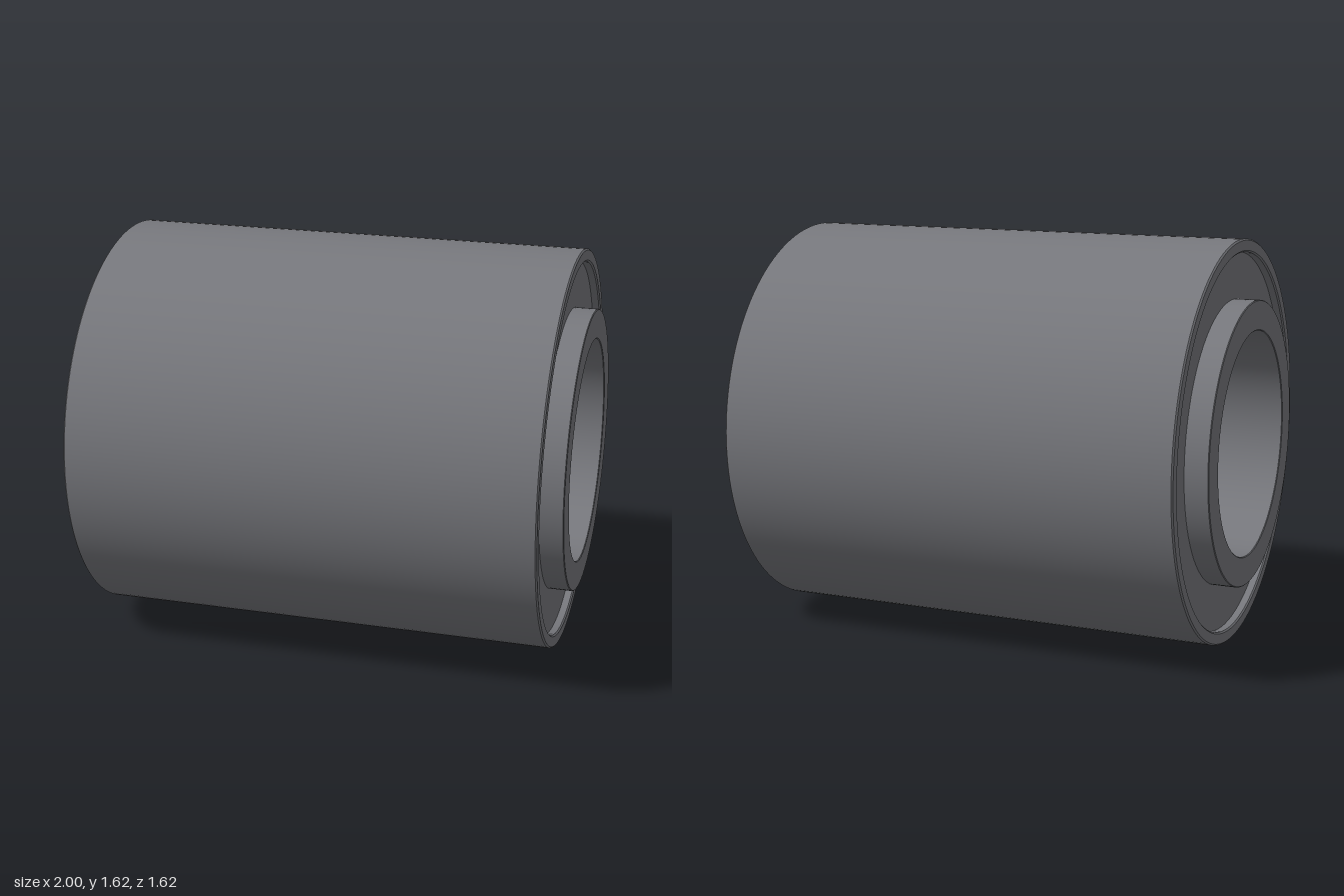
import * as THREE from 'three';
import { toCreasedNormals } from 'three/addons/utils/BufferGeometryUtils.js';

const AXIS_HEIGHT = 0.8125;

// Closed ring around the x axis with bevelled corners.
function ring(name, inner, outer, halfLength, bevel, material) {
  const h = halfLength, b = bevel;
  const profile = [
    [inner + b, -h], [outer - b, -h], [outer, -h + b], [outer, h - b],
    [outer - b, h], [inner + b, h], [inner, h - b], [inner, -h + b], [inner + b, -h],
  ].map(([r, y]) => new THREE.Vector2(r, y));
  const geometry = new THREE.LatheGeometry(profile, 128);
  geometry.rotateZ(-Math.PI / 2);
  const mesh = new THREE.Mesh(toCreasedNormals(geometry, Math.PI / 6), material);
  mesh.name = name;
  mesh.position.y = AXIS_HEIGHT;
  return mesh;
}

export function createModel() {
  const grey = new THREE.MeshStandardMaterial({ color: 0x77787d });
  grey.name = 'grey';

  const model = new THREE.Group();
  model.name = 'bushing';
  model.add(
    ring('outerSleeve', 0.76, AXIS_HEIGHT, 0.94, 0.006, grey),
    // Recessed filling between the sleeves
    ring('fillingRing', 0.57, 0.765, 0.905, 0.001, grey),
    // Inner sleeve sticks out at both ends
    ring('innerSleeve', 0.453, 0.574, 1, 0.003, grey),
  );
  return model;
}
